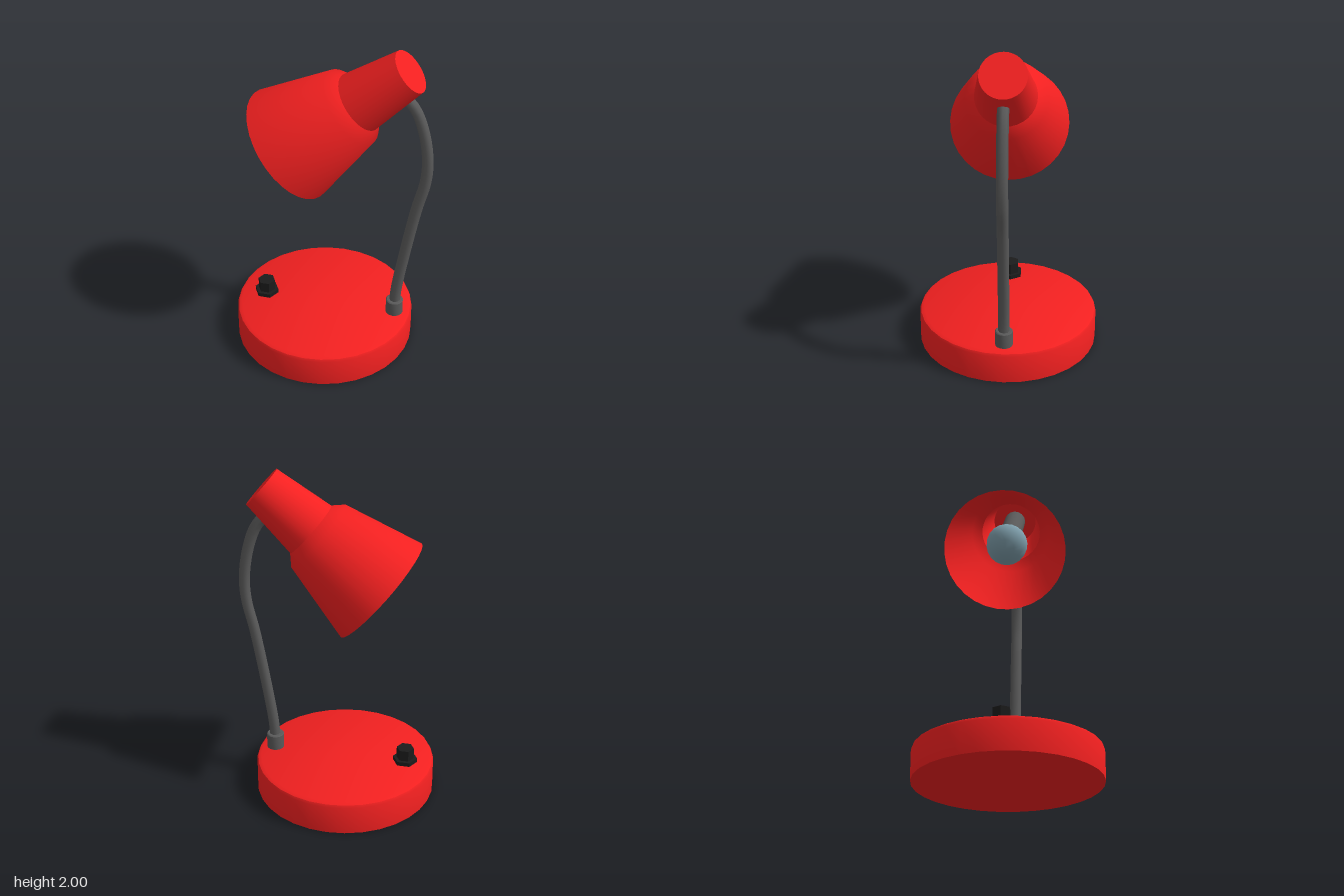
import * as THREE from 'three';
import { toCreasedNormals } from 'three/addons/utils/BufferGeometryUtils.js';

const material = (color, side = THREE.FrontSide) => new THREE.MeshStandardMaterial({ color, side });

export function createModel() {
  const lamp = new THREE.Group();
  lamp.name = 'deskLamp';

  const red = material(0xf22020);
  const redShell = material(0xf22020, THREE.DoubleSide);
  const metal = material(0x5a5a5a);
  const black = material(0x1c1c1c);
  const glass = material(0x7f9fac);

  const add = (name, geometry, mat, parent = lamp) => {
    const mesh = new THREE.Mesh(geometry, mat);
    mesh.name = name;
    parent.add(mesh);
    return mesh;
  };
  // Turned part from [radius, height] pairs, listed bottom to top
  const turned = (profile, sides, crease = 0.6) => toCreasedNormals(
    new THREE.LatheGeometry(profile.map(([r, y]) => new THREE.Vector2(r, y)), sides), crease);

  // Heavy round base with a small bevel on its top edge
  add('base', turned([[0, 0], [0.535, 0], [0.535, 0.175], [0.528, 0.19], [0.508, 0.2], [0, 0.2]], 32), red)
    .position.x = -0.05;

  // Hexagonal switch with a wider washer below it
  const knob = new THREE.Group();
  knob.name = 'switch';
  knob.position.set(-0.418, 0.2, 0);
  lamp.add(knob);
  add('switchWasher', turned([[0, 0], [0.073, 0], [0.073, 0.025], [0, 0.025]], 6, 0.3), black, knob).rotation.y = Math.PI / 6;
  add('switchKnob', turned([[0, 0.02], [0.052, 0.02], [0.052, 0.093], [0, 0.093]], 6, 0.3), black, knob).rotation.y = Math.PI / 6;

  // Collar holding the arm
  add('armCollar', turned([[0, 0], [0.052, 0], [0.052, 0.09], [0.047, 0.095], [0, 0.095]], 16), metal)
    .position.set(0.385, 0.2, 0);

  // Bent gooseneck arm
  const path = new THREE.CatmullRomCurve3([
    [0.385, 0.24], [0.392, 0.36], [0.43, 0.62], [0.497, 1.0], [0.538, 1.18],
    [0.547, 1.32], [0.523, 1.5], [0.473, 1.65], [0.42, 1.72], [0.37, 1.76],
  ].map(([x, y]) => new THREE.Vector3(x, y, 0)));
  add('arm', new THREE.TubeGeometry(path, 40, 0.033, 8), metal);

  // Tilted head: local y runs from the open rim to the closed end
  const head = new THREE.Group();
  head.name = 'head';
  head.position.set(-0.2525, 1.33, 0);
  head.rotation.z = -0.875;
  lamp.add(head);
  add('shade', turned([[0.35, 0], [0.233, 0.468], [0.176, 0.526], [0.131, 0.889], [0, 0.889]], 32), redShell, head);
  add('bulb', turned([
    [0, 0.05], [0.05, 0.06], [0.092, 0.09], [0.117, 0.135], [0.12, 0.18],
    [0.105, 0.235], [0.075, 0.3], [0.055, 0.36], [0.05, 0.42], [0, 0.42],
  ], 20, 0.8), glass, head);
  add('bulbSocket', turned([[0, 0.4], [0.065, 0.4], [0.065, 0.885], [0, 0.885]], 16), metal, head);

  return lamp;
}
